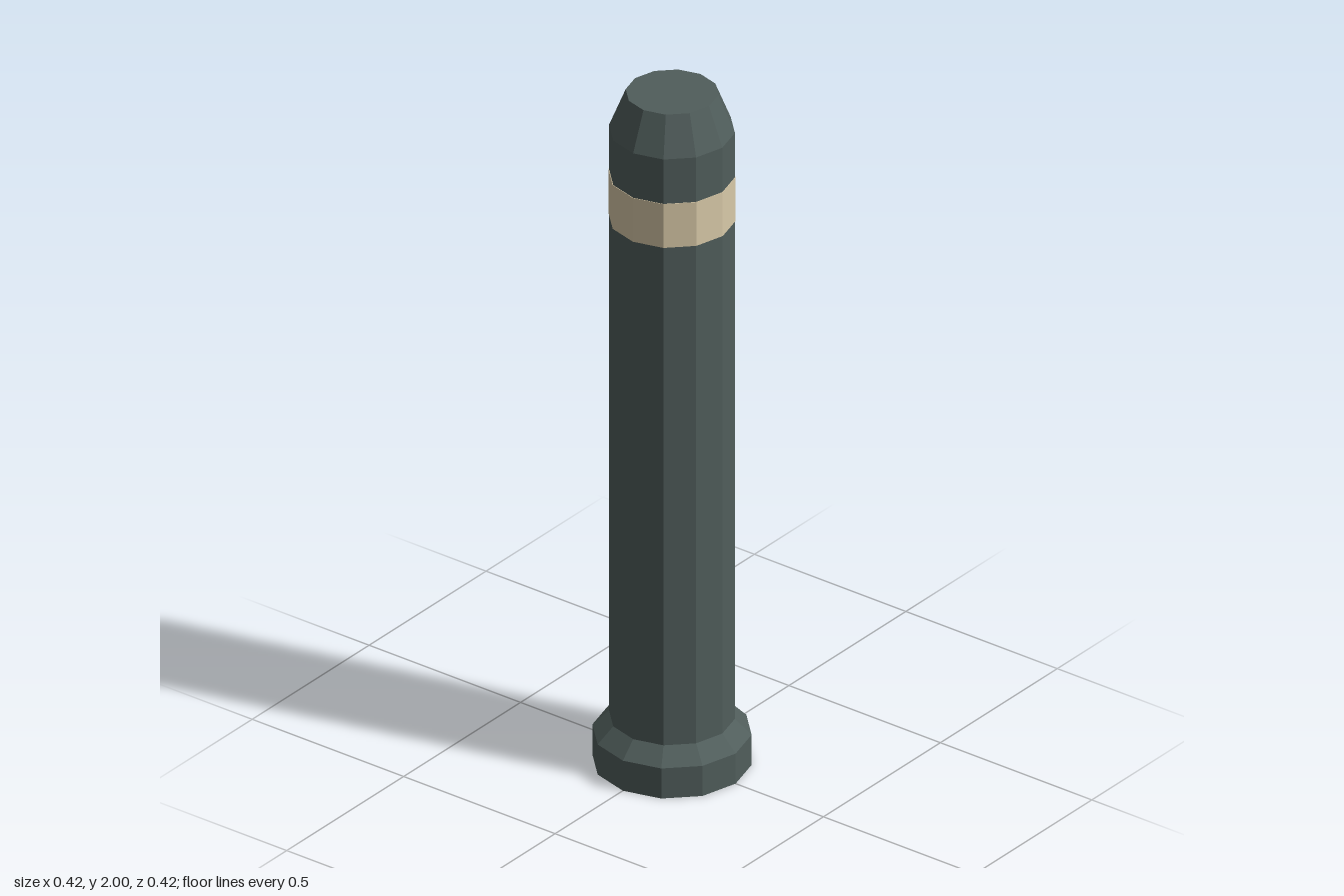
import * as THREE from 'three';

const SIDES = 12;

export function createModel() {
  const group = new THREE.Group();
  const dark = new THREE.MeshStandardMaterial({ color: 0x505d5b, flatShading: true });
  const cream = new THREE.MeshStandardMaterial({ color: 0xd8c9a8, flatShading: true });

  // Twelve-sided solid turned from a [radius, height] profile, bottom to top
  const turned = (name, profile, material) => {
    const points = profile.map(([r, y]) => new THREE.Vector2(r, y));
    const mesh = new THREE.Mesh(new THREE.LatheGeometry(points, SIDES), material);
    mesh.name = name;
    group.add(mesh);
  };

  // Foot with a sloped shoulder
  turned('baseCollar', [[0, 0], [0.21, 0], [0.21, 0.09], [0.166, 0.135]], dark);

  // Long straight shaft
  turned('post', [[0.166, 0.135], [0.166, 1.626]], dark);

  // Pale band, standing very slightly proud of the post
  turned('band', [[0.166, 1.626], [0.1675, 1.626], [0.1675, 1.757], [0.166, 1.757]], cream);

  // Tapered, flat-topped head
  turned('cap', [[0.166, 1.757], [0.166, 1.89], [0.122, 2], [0, 2]], dark);

  return group;
}
